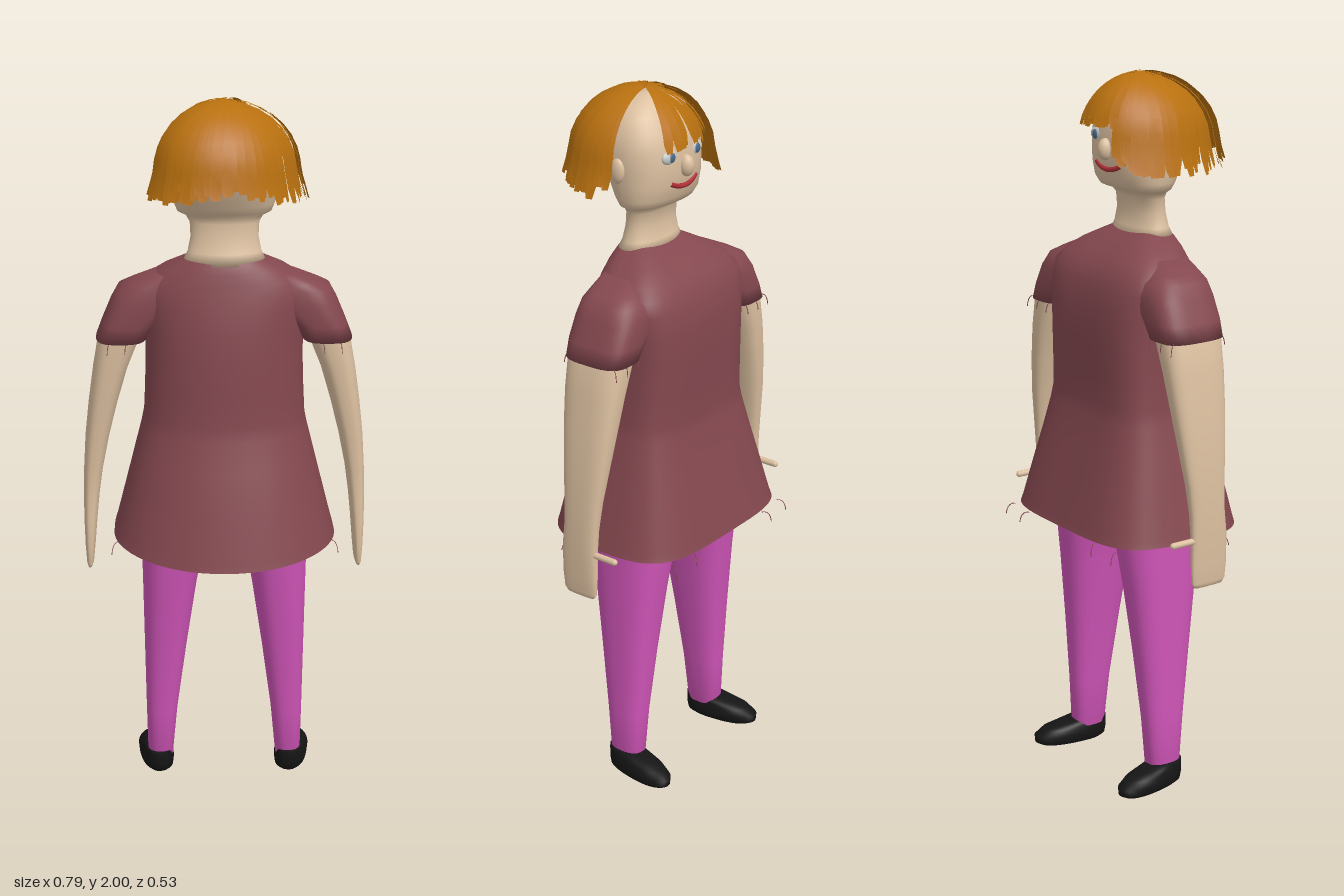
import * as THREE from 'three';

const mat = (color) => new THREE.MeshStandardMaterial({ color, side: THREE.DoubleSide, roughness: 0.9 });
const SKIN = mat(0xdcc0a0), DRESS = mat(0x84484f), PINK = mat(0xd055b8), HAIR = mat(0xb8700f);
const BLACK = mat(0x151515), WHITE = mat(0xe8e8e8), BLUE = mat(0x4a6a88), RED = mat(0xb03038);

let seed = 7;
const rand = () => (seed = (seed * 16807) % 2147483647) / 2147483647;

// Rings run bottom to top: [y, xMin, xMax, zMin, zMax]; the exponents square off the +z and -z halves.
function loft(rings, { back = 2, front = 2, caps = true, n = 40 } = {}) {
  const pos = [], idx = [];
  for (const [y, x0, x1, z0, z1] of rings) {
    for (let j = 0; j < n; j++) {
      const a = (j / n) * Math.PI * 2, c = Math.cos(a), s = Math.sin(a);
      const e = 2 / (s > 0 ? back : front);
      pos.push((x0 + x1) / 2 + (x1 - x0) / 2 * Math.sign(c) * Math.abs(c) ** e, y,
        (z0 + z1) / 2 + (z1 - z0) / 2 * Math.sign(s) * Math.abs(s) ** e);
    }
  }
  for (let i = 0; i < rings.length - 1; i++) {
    for (let j = 0; j < n; j++) {
      const a = i * n + j, b = i * n + (j + 1) % n;
      idx.push(a, a + n, b, b, a + n, b + n);
    }
  }
  if (caps) {
    const last = rings.length - 1;
    for (const i of [0, last]) {
      const [y, x0, x1, z0, z1] = rings[i], centre = pos.length / 3;
      pos.push((x0 + x1) / 2, y, (z0 + z1) / 2);
      for (let j = 0; j < n; j++) {
        const a = i * n + j, b = i * n + (j + 1) % n;
        idx.push(centre, i ? b : a, i ? a : b);
      }
    }
  }
  const g = new THREE.BufferGeometry();
  g.setAttribute('position', new THREE.Float32BufferAttribute(pos, 3));
  g.setIndex(idx);
  g.computeVertexNormals();
  return g;
}

function add(parent, name, geometry, material, x = 0, y = 0, z = 0) {
  const m = new THREE.Mesh(geometry, material);
  m.name = name;
  m.position.set(x, y, z);
  parent.add(m);
  return m;
}

const ball = (parent, name, material, x, y, z, sx, sy, sz) =>
  add(parent, name, new THREE.SphereGeometry(1, 20, 14), material, x, y, z).scale.set(sx, sy, sz);

// Symmetric rings given as [y, halfWidth, zMin, zMax]
const sym = (rows, inset = 0) => rows.map(([y, w, z0, z1]) => [y, -w + inset, w - inset, z0 + inset, z1 - inset]);

// The hem dips towards +z
function dipHem(g) {
  const p = g.attributes.position;
  for (let i = 0; i < p.count; i++) {
    if (p.getY(i) < 0.8) p.setY(i, p.getY(i) - 0.028 * Math.max(0, p.getZ(i) / 0.27) ** 2);
  }
  g.computeVertexNormals();
  return g;
}

// A loose thread hanging from a cloth edge
function thread(parent, x, y, z, dx, dz) {
  const path = new THREE.QuadraticBezierCurve3(new THREE.Vector3(x, y, z),
    new THREE.Vector3(x + dx, y + 0.005, z + dz), new THREE.Vector3(x + dx * 1.2, y - 0.03, z + dz * 1.2));
  add(parent, 'looseThread', new THREE.TubeGeometry(path, 6, 0.0012, 4), DRESS);
}

// One tapered strand from the crown, following the skull at angle a and then hanging free
function strand(a, end, lift, width) {
  const R = 1 / Math.hypot(Math.cos(a) / 0.185, Math.sin(a) / (Math.sin(a) > 0 ? 0.198 : 0.16));
  const pos = [], idx = [], steps = 9, swirl = (rand() - 0.5) * 0.18;
  for (let i = 0; i <= steps; i++) {
    const u = 0.06 + (end - 0.06) * i / steps, phi = Math.min(u, Math.PI / 2);
    const drop = Math.max(0, u - Math.PI / 2) * 0.18;
    const r = (R + lift) * Math.sin(phi) + drop * 0.3, y = 1.82 + (0.173 + lift) * Math.cos(phi) - drop;
    const ang = a + swirl * i / steps, w = width * (0.2 + 0.8 * Math.sin(phi)) * (i === steps ? 0.6 : 1);
    for (const s of [-1, 1]) {
      const tilt = s * 0.003;
      pos.push(0.008 + Math.cos(ang) * (r + tilt) - Math.sin(ang) * w * s, y,
        0.045 + Math.sin(ang) * (r + tilt) + Math.cos(ang) * w * s);
    }
    if (i) idx.push(2 * i - 2, 2 * i - 1, 2 * i, 2 * i - 1, 2 * i + 1, 2 * i);
  }
  const g = new THREE.BufferGeometry();
  g.setAttribute('position', new THREE.Float32BufferAttribute(pos, 3));
  g.setIndex(idx);
  g.computeVertexNormals();
  return g;
}

function buildHair() {
  const hair = new THREE.Group();
  hair.name = 'hair';
  const count = 64, deg = 180 / Math.PI;
  for (let layer = 0; layer < 2; layer++) {
    for (let i = 0; i < count; i++) {
      const a = ((i + layer * 0.5) / count) * Math.PI * 2, d = a * deg;
      if (d > 305 && d < 352) continue; // parting that leaves the temple bare
      const fringe = d > 240 && d < 306;
      const hang = fringe ? -0.33 : 0.1 + 0.24 * Math.abs(Math.cos(a));
      const end = Math.PI / 2 + hang + (rand() - 0.5) * 0.2;
      add(hair, 'strand', strand(a, end, layer * 0.006 + rand() * 0.006, 0.012 + rand() * 0.005), HAIR);
    }
  }
  return hair;
}

function buildHead() {
  const head = new THREE.Group();
  head.name = 'head';
  add(head, 'headAndNeck', loft(sym([
    [1.56, 0.115, -0.03, 0.105], [1.59, 0.1, -0.015, 0.09], [1.63, 0.092, -0.008, 0.08],
    [1.67, 0.094, -0.01, 0.075], [1.688, 0.105, -0.025, 0.08], [1.698, 0.128, -0.055, 0.09],
    [1.72, 0.137, -0.07, 0.105], [1.76, 0.141, -0.08, 0.125], [1.8, 0.144, -0.083, 0.145],
    [1.85, 0.148, -0.08, 0.16], [1.9, 0.14, -0.066, 0.155], [1.94, 0.115, -0.038, 0.135],
    [1.965, 0.085, -0.015, 0.11], [1.985, 0.035, 0.01, 0.07]]), { front: 2.4 }), SKIN);
  ball(head, 'nose', SKIN, 0, 1.805, -0.085, 0.02, 0.03, 0.022);
  for (const s of [-1, 1]) {
    ball(head, 'eye', WHITE, s * 0.055, 1.838, -0.07, 0.03, 0.02, 0.012);
    ball(head, 'iris', BLUE, s * 0.055, 1.838, -0.08, 0.011, 0.013, 0.005);
    ball(head, 'ear', SKIN, s * 0.148, 1.805, 0.03, 0.013, 0.034, 0.022);
  }
  const smile = new THREE.QuadraticBezierCurve3(new THREE.Vector3(-0.055, 1.765, -0.073),
    new THREE.Vector3(0, 1.735, -0.087), new THREE.Vector3(0.055, 1.765, -0.073));
  add(head, 'mouth', new THREE.TubeGeometry(smile, 16, 0.007, 8), RED);
  head.add(buildHair());
  return head;
}

// Sleeve, arm, leg and shoe of the +x side
function buildLimbs() {
  const g = new THREE.Group();
  g.name = 'limbs';
  add(g, 'sleeve', loft([
    [1.335, 0.215, 0.354, -0.118, 0.075], [1.38, 0.185, 0.337, -0.12, 0.08], [1.44, 0.12, 0.312, -0.118, 0.08],
    [1.478, 0.08, 0.292, -0.105, 0.075], [1.497, 0.06, 0.26, -0.08, 0.07], [1.525, 0.04, 0.2, -0.05, 0.065]],
  { back: 3, front: 3.2 }), DRESS);
  add(g, 'armAndHand', loft([
    [0.66, 0.376, 0.389, -0.062, 0.028], [0.672, 0.372, 0.392, -0.07, 0.038], [0.72, 0.367, 0.395, -0.072, 0.043],
    [0.8, 0.36, 0.397, -0.07, 0.044], [0.87, 0.353, 0.397, -0.072, 0.038], [0.95, 0.342, 0.395, -0.08, 0.04],
    [1.05, 0.322, 0.389, -0.093, 0.048], [1.15, 0.297, 0.378, -0.103, 0.058], [1.25, 0.268, 0.364, -0.11, 0.066],
    [1.33, 0.236, 0.35, -0.113, 0.07], [1.38, 0.225, 0.33, -0.11, 0.07]], { back: 2.8, front: 2.8 }), SKIN);
  const thumb = add(g, 'thumb', new THREE.CapsuleGeometry(0.009, 0.075, 6, 12), SKIN, 0.38, 0.795, -0.095);
  thumb.rotation.x = Math.PI / 2;
  add(g, 'trouserLeg', loft([
    [0.05, 0.151, 0.224, -0.075, 0.025], [0.2, 0.137, 0.227, -0.083, 0.038], [0.4, 0.11, 0.23, -0.1, 0.062],
    [0.6, 0.08, 0.233, -0.12, 0.088], [0.76, 0.052, 0.236, -0.14, 0.11], [0.86, 0.005, 0.238, -0.145, 0.12],
    [0.95, -0.02, 0.235, -0.145, 0.125]], { back: 2.5, front: 2.6 }), PINK);
  const shoe = add(g, 'shoe', loft([
    [0, -0.035, 0.035, -0.18, 0.01], [0.01, -0.046, 0.046, -0.198, 0.022], [0.03, -0.048, 0.048, -0.2, 0.026],
    [0.048, -0.044, 0.044, -0.175, 0.027], [0.06, -0.04, 0.04, -0.12, 0.027], [0.07, -0.036, 0.036, -0.075, 0.025]],
  { back: 2.6, front: 2.2 }), BLACK, 0.188, 0, 0.005);
  shoe.rotation.y = -0.16;
  for (let i = 0; i < 5; i++) thread(g, 0.24 + i * 0.024, 1.338, i % 2 ? 0.06 : -0.1, 0.008, i % 2 ? 0.015 : -0.015);
  thread(g, 0.3, 0.76, 0.08, 0.015, 0.02);
  thread(g, 0.25, 0.76, -0.23, 0.01, -0.02);
  thread(g, 0.16, 0.76, -0.24, 0.015, -0.018);
  return g;
}

export function createModel() {
  const model = new THREE.Group();
  model.name = 'standingFigure';

  // Flared tunic with a pink lining
  const skirt = [[0.765, 0.312, -0.243, 0.268], [0.785, 0.306, -0.237, 0.262], [0.9, 0.277, -0.21, 0.228],
    [1.0, 0.252, -0.185, 0.197], [1.08, 0.232, -0.167, 0.173], [1.12, 0.224, -0.161, 0.165]];
  const bodice = [[1.2, 0.22, -0.163, 0.163], [1.3, 0.217, -0.166, 0.158], [1.38, 0.22, -0.165, 0.15],
    [1.44, 0.228, -0.155, 0.138], [1.48, 0.228, -0.14, 0.128], [1.51, 0.205, -0.117, 0.12],
    [1.54, 0.165, -0.08, 0.112], [1.565, 0.12, -0.04, 0.102], [1.58, 0.092, -0.012, 0.09]];
  const shape = { back: 2.1, front: 4, caps: false, n: 64 };
  add(model, 'tunic', dipHem(loft(sym([...skirt, ...bodice]), shape)), DRESS);
  add(model, 'tunicLining', dipHem(loft(sym(skirt, 0.006), shape)), PINK);
  add(model, 'trouserSeat', loft(sym([[0.84, 0.1, -0.12, 0.1], [0.88, 0.2, -0.14, 0.12], [1.0, 0.22, -0.145, 0.13]]),
    { front: 2.5 }), PINK);

  // Both sides, mirrored
  const limbs = buildLimbs();
  const mirrored = limbs.clone();
  mirrored.scale.x = -1;
  model.add(limbs, mirrored, buildHead());
  return model;
}
